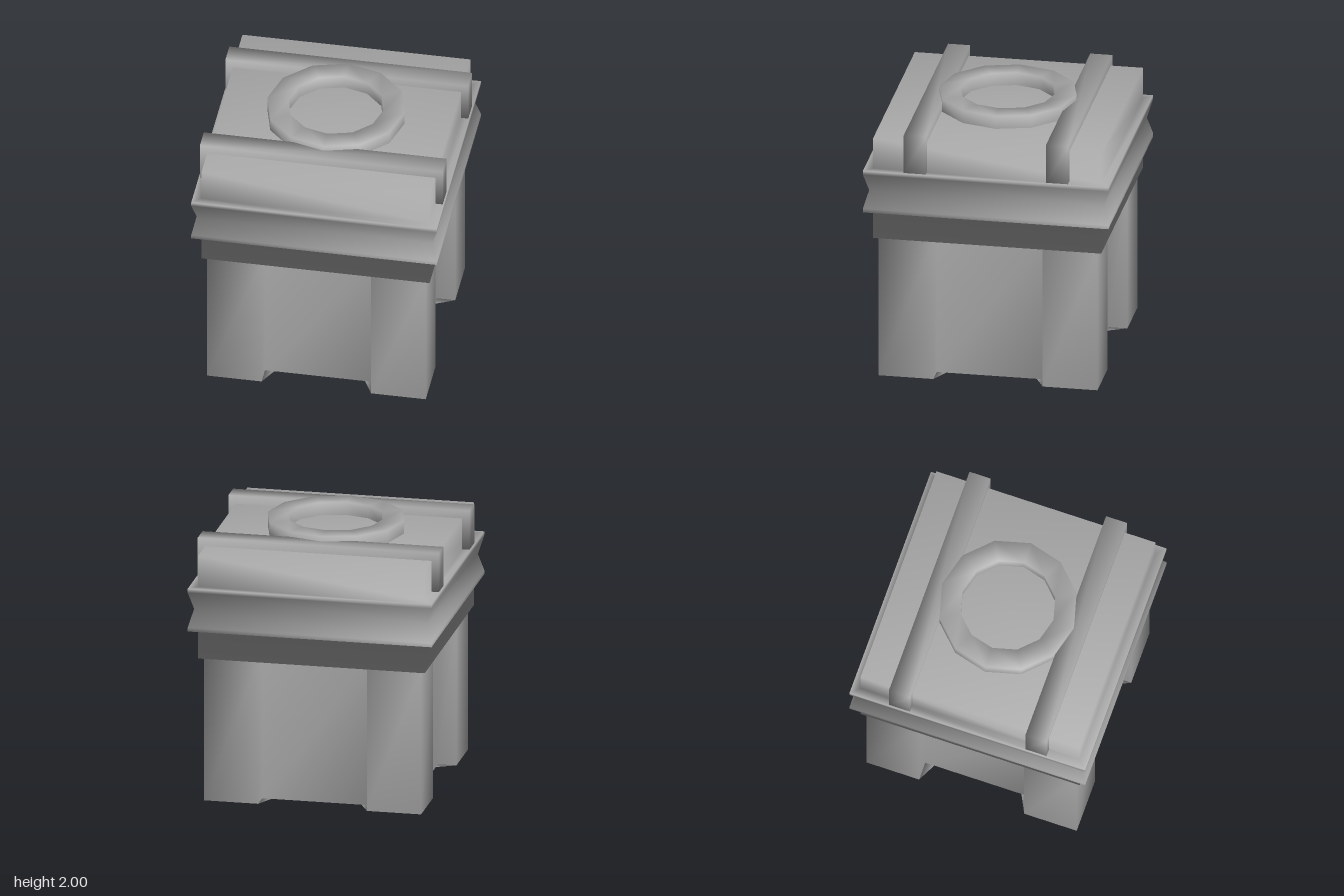
import * as THREE from 'three';
import { mergeVertices, toCreasedNormals } from 'three/addons/utils/BufferGeometryUtils.js';

const material = new THREE.MeshStandardMaterial({ color: 0xaaaaaa });

// Weld the corners so shading runs softly over every edge
function soften(geometry) {
  geometry.deleteAttribute('normal');
  geometry.deleteAttribute('uv');
  const welded = mergeVertices(geometry);
  welded.computeVertexNormals();
  return welded;
}

// Square turned form: profile radii are half-widths
function squareLathe(profile) {
  const points = profile.map(([r, y]) => new THREE.Vector2(r * Math.SQRT2, y));
  return new THREE.LatheGeometry(points, 4, Math.PI / 4);
}

// Loft a closed plan through levels of [scale, height], from the bottom up
function loft(plan, levels) {
  const positions = [], indices = [], n = plan.length;
  for (const [s, y] of levels) for (const p of plan) positions.push(p.x * s, y, -p.y * s);
  for (let l = 0; l < levels.length - 1; l++) {
    for (let i = 0; i < n; i++) {
      const a = l * n + i, b = l * n + ((i + 1) % n);
      indices.push(a, b, b + n, a, b + n, a + n);
    }
  }
  const geometry = new THREE.BufferGeometry();
  geometry.setAttribute('position', new THREE.Float32BufferAttribute(positions, 3));
  geometry.setIndex(indices);
  return soften(geometry);
}

export function createModel() {
  const group = new THREE.Group();
  const add = (name, geometry, y = 0, z = 0) => {
    const mesh = new THREE.Mesh(geometry, material);
    mesh.name = name;
    mesh.position.set(0, y, z);
    group.add(mesh);
  };

  // Body: square plan with four corner posts standing proud of recessed walls
  const outer = 0.82, wall = 0.68, post = 0.41;
  const quarter = [[wall, -post], [wall, post], [outer, post], [outer, outer], [post, outer], [post, wall]];
  const plan = [];
  for (let i = 0; i < 4; i++) {
    for (const [x, y] of quarter.slice(1)) {
      plan.push(new THREE.Vector2(x, y).rotateAround(new THREE.Vector2(), (i * Math.PI) / 2));
    }
  }
  add('body', loft(plan, [[0, 0], [0.8, 0], [1, 0], [1, 1.11]]));

  // Collar under the lid, with the underside of the band
  const collar = squareLathe([[0, 1.105], [0.855, 1.105], [0.855, 1.33], [0.92, 1.33]]);
  add('collar', toCreasedNormals(collar, 1.6));

  // Lid: notched band and top block
  add('lid', soften(squareLathe([
    [0.92, 1.33], [0.92, 1.36], [0.88, 1.495], [0.92, 1.63],
    [0.92, 1.66], [0.855, 1.66], [0.855, 1.9], [0, 1.9],
  ])));

  // Two rails lying across the lid
  for (const s of [1, -1]) {
    add(s > 0 ? 'frontRail' : 'backRail', soften(new THREE.BoxGeometry(1.82, 0.3, 0.165)), 1.812, s * 0.533);
  }

  // Twelve-sided ring handle with a softly shaded section
  const ring = [[0.515, 1.89], [0.515, 2], [0.355, 2], [0.355, 1.89]].map(([r, y]) => new THREE.Vector2(r, y));
  add('ringHandle', new THREE.LatheGeometry(ring, 12));

  return group;
}
